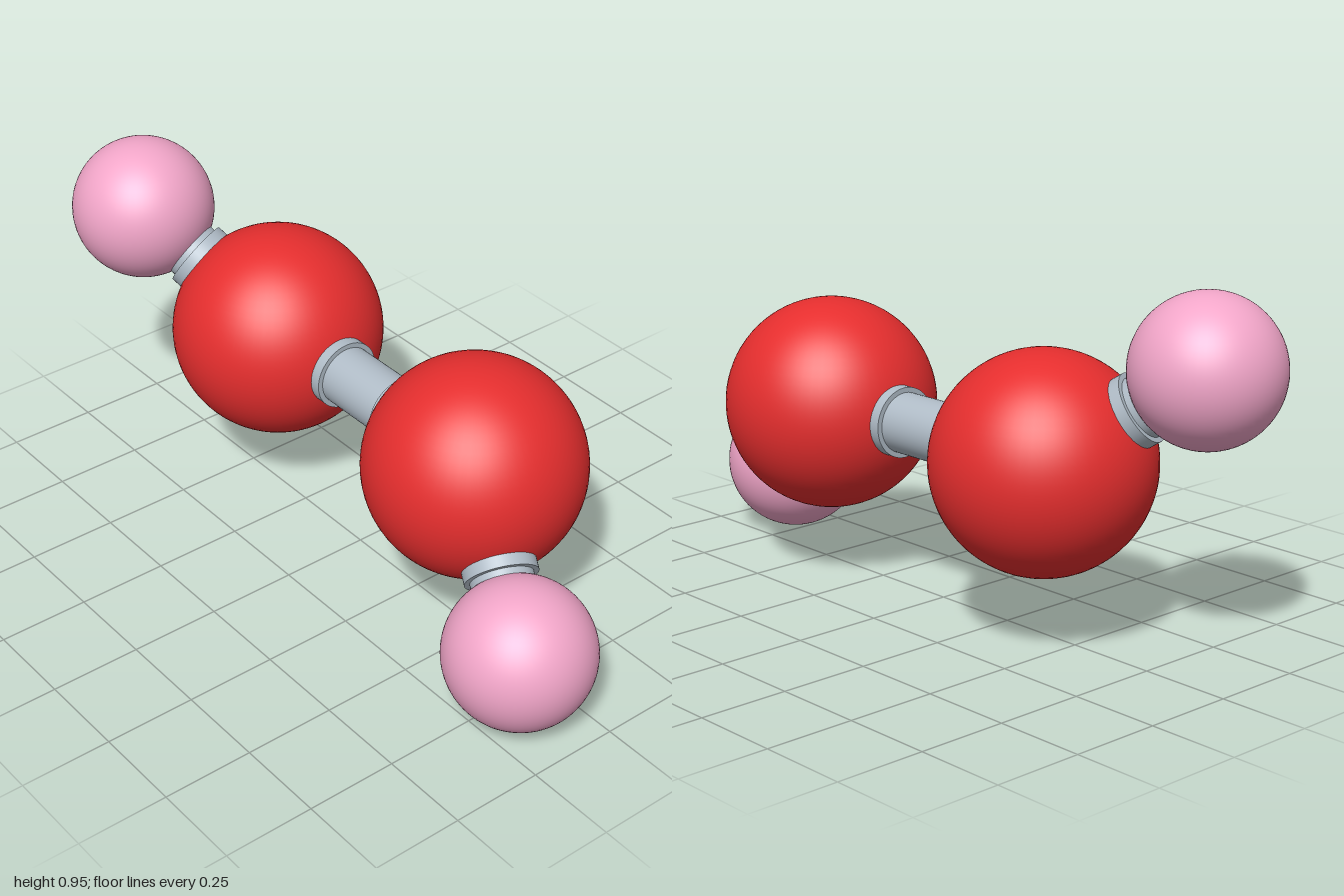
import * as THREE from 'three';

const red = new THREE.MeshStandardMaterial({ color: 0xe62e2e });
const pink = new THREE.MeshStandardMaterial({ color: 0xf2a6c9 });
const steel = new THREE.MeshStandardMaterial({ color: 0xb0bcc7 });

function ball(name, center, radius, material) {
  const mesh = new THREE.Mesh(new THREE.SphereGeometry(radius, 64, 40), material);
  mesh.name = name;
  mesh.position.copy(center);
  return mesh;
}

// Cylinder along the line from a to b, between two distances from a
function rod(name, a, b, from, to, radius) {
  const dir = b.clone().sub(a).normalize();
  const mesh = new THREE.Mesh(new THREE.CylinderGeometry(radius, radius, to - from, 48), steel);
  mesh.name = name;
  mesh.position.copy(a).addScaledVector(dir, (from + to) / 2);
  mesh.quaternion.setFromUnitVectors(new THREE.Vector3(0, 1, 0), dir);
  return mesh;
}

export function createModel() {
  const model = new THREE.Group();
  model.name = 'ballAndStickModel';
  const rodR = 0.083, collarR = 0.097;

  const bigLeft = new THREE.Vector3(0.418, 0.48, -0.04);
  const bigRight = new THREE.Vector3(-0.418, 0.48, -0.04);

  // Central connecting rod
  model.add(rod('centralRod', bigLeft, bigRight, 0.25, 0.586, rodR));

  for (const s of [1, -1]) {
    const side = s > 0 ? 'left' : 'right';
    const big = s > 0 ? bigLeft : bigRight;
    const other = s > 0 ? bigRight : bigLeft;
    const small = new THREE.Vector3(s * 0.802, 0.48 - s * 0.279, 0.135);

    // Large and small balls
    model.add(ball(side + 'LargeBall', big, 0.294, red));
    model.add(ball(side + 'SmallBall', small, 0.198, pink));

    // Collars seated on the large ball, and the short outer rod
    model.add(rod(side + 'InnerCollar', big, other, 0.25, 0.309, collarR));
    model.add(rod(side + 'OuterCollar', big, small, 0.25, 0.309, collarR));
    model.add(rod(side + 'OuterRod', big, small, 0.25, 0.36, rodR));
  }
  return model;
}
